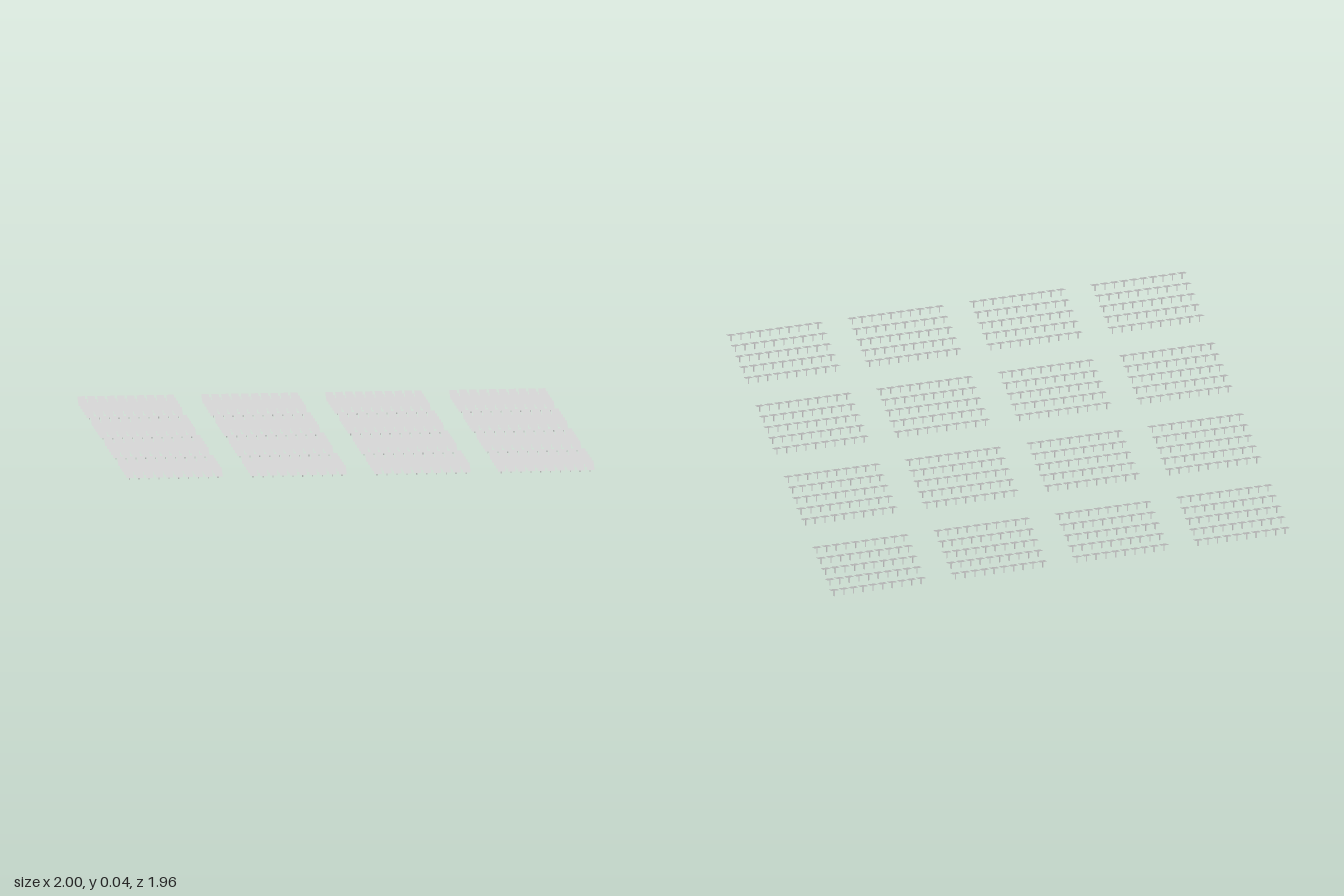
import * as THREE from 'three';
import { mergeGeometries } from 'three/addons/utils/BufferGeometryUtils.js';

const BLOCKS = 4, BLOCK_PITCH = 0.5293;
const COLS = 10, COL_PITCH = 0.0422;
const ROWS = 5, ROW_PITCH = 0.0797;
const WIDTH = 0.032, LENGTH = 0.0645, TILT = THREE.MathUtils.degToRad(29.5), HUB = 0.028;
const POST_Z = -0.005, POST_TOP = 0.029, POST_SIZE = 0.0045;

// Offset of item i in a centred row of n
const spread = (i, n, pitch) => (i - (n - 1) / 2) * pitch;

// Repeats one unit over the rows and columns of a block
function tile(unit) {
  const copies = [];
  for (let r = 0; r < ROWS; r++)
    for (let c = 0; c < COLS; c++)
      copies.push(unit.clone().translate(spread(c, COLS, COL_PITCH), 0, spread(r, ROWS, ROW_PITCH)));
  return mergeGeometries(copies);
}

export function createModel() {
  const model = new THREE.Group();
  model.name = 'solarFarm';
  const sheet = new THREE.MeshStandardMaterial({ color: 0xcccccc, side: THREE.DoubleSide });
  const metal = new THREE.MeshStandardMaterial({ color: 0xcccccc });

  // Thin panel, low edge at the front
  const panel = new THREE.PlaneGeometry(WIDTH, LENGTH)
    .rotateX(TILT - Math.PI / 2).translate(0, HUB, 0);
  // Upright just behind the middle of the panel
  const post = new THREE.BoxGeometry(POST_SIZE, POST_TOP, POST_SIZE).translate(0, POST_TOP / 2, POST_Z);
  // Sloping bracket against the underside, reaching forward from the post
  const bracket = new THREE.BoxGeometry(POST_SIZE, 0.003, 0.014)
    .translate(0, -0.0017, 0).rotateX(TILT).translate(0, HUB, 0);

  const parts = [
    ['panels', tile(panel), sheet],
    ['posts', tile(post), metal],
    ['brackets', tile(bracket), metal],
  ];

  // Square field of equal blocks
  for (let i = 0; i < BLOCKS; i++)
    for (let j = 0; j < BLOCKS; j++) {
      const block = new THREE.Group();
      block.name = `panelBlock${i * BLOCKS + j + 1}`;
      for (const [name, geometry, material] of parts) {
        const mesh = new THREE.Mesh(geometry, material);
        mesh.name = name;
        block.add(mesh);
      }
      block.position.set(spread(j, BLOCKS, BLOCK_PITCH), 0, spread(i, BLOCKS, BLOCK_PITCH));
      model.add(block);
    }
  return model;
}
